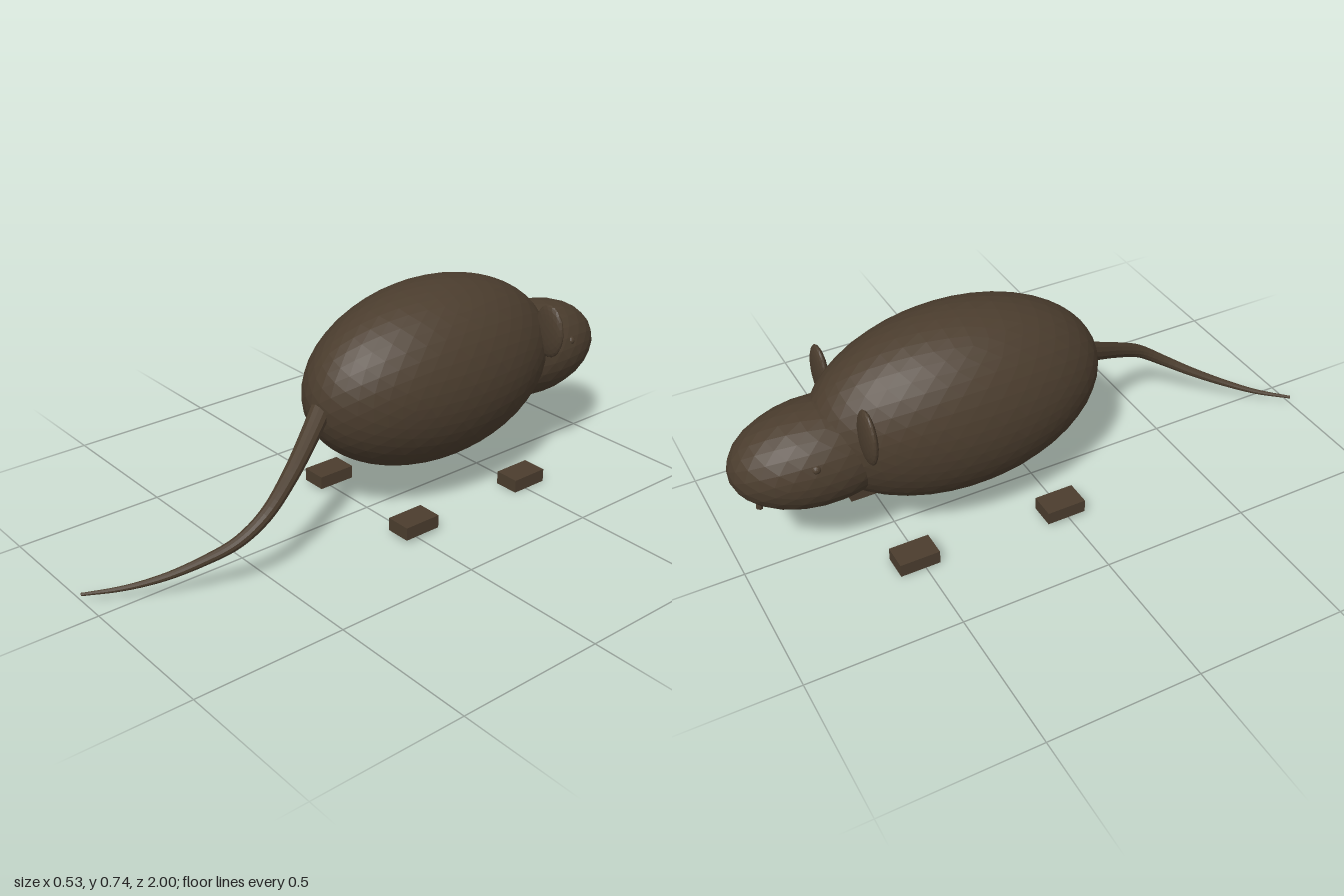
import * as THREE from 'three';

const fur = new THREE.MeshStandardMaterial({ color: 0x4b3d2e, flatShading: true });
fur.name = 'darkBrownFur';

function add(parent, name, geometry, x, y, z) {
  const mesh = new THREE.Mesh(geometry, fur);
  mesh.name = name;
  mesh.position.set(x, y, z);
  parent.add(mesh);
  return mesh;
}

// Faceted ellipsoid with the given radii
function ellipsoid(rx, ry, rz, detail) {
  return new THREE.IcosahedronGeometry(1, detail).scale(rx, ry, rz);
}

// Tube whose rings shrink towards the end of the curve
function taperedTube(points, r0, r1, segments, sides) {
  const curve = new THREE.CatmullRomCurve3(points.map((p) => new THREE.Vector3(...p)));
  const geometry = new THREE.TubeGeometry(curve, segments, 1, sides, false);
  const pos = geometry.attributes.position;
  const v = new THREE.Vector3();
  for (let i = 0; i <= segments; i++) {
    const t = i / segments;
    const centre = curve.getPointAt(t);
    const r = r0 + (r1 - r0) * t;
    for (let j = 0; j <= sides; j++) {
      const k = i * (sides + 1) + j;
      v.fromBufferAttribute(pos, k).sub(centre).multiplyScalar(r).add(centre);
      pos.setXYZ(k, v.x, v.y, v.z);
    }
  }
  geometry.computeVertexNormals();
  return geometry;
}

export function createModel() {
  const model = new THREE.Group();
  model.name = 'rat';

  // Body and head; the snout points to -z
  add(model, 'body', ellipsoid(0.263, 0.307, 0.488, 7), 0, 0.43, -0.265);
  add(model, 'head', ellipsoid(0.173, 0.163, 0.28, 4), 0, 0.386, -0.72);

  // Paired parts
  for (const [side, s] of [['left', 1], ['right', -1]]) {
    add(model, side + 'Ear', ellipsoid(0.063, 0.092, 0.02, 3), s * 0.185, 0.523, -0.63);
    add(model, side + 'Eye', ellipsoid(0.015, 0.015, 0.015, 2), s * 0.149, 0.44, -0.78);
    const tooth = add(model, side + 'Tooth',
      new THREE.CylinderGeometry(0.015, 0.011, 0.06, 8), s * 0.022, 0.288, -0.922);
    tooth.rotation.x = 0.2;
    add(model, side + 'FrontFoot', new THREE.BoxGeometry(0.087, 0.045, 0.133), s * 0.197, 0.0225, -0.517);
    add(model, side + 'HindFoot', new THREE.BoxGeometry(0.087, 0.044, 0.133), s * 0.219, 0.035, -0.013);
  }

  // Long curved tail
  const path = [
    [0.0, 0.44, 0.17], [0.05, 0.38, 0.26], [0.12, 0.295, 0.4], [0.16, 0.225, 0.52],
    [0.147, 0.165, 0.61], [0.1, 0.115, 0.7], [0.04, 0.07, 0.8], [-0.03, 0.038, 0.9], [-0.1, 0.023, 1.0],
  ];
  add(model, 'tail', taperedTube(path, 0.035, 0.005, 40, 12), 0, 0, 0);
  add(model, 'tailTip', ellipsoid(0.005, 0.005, 0.003, 1), -0.1, 0.023, 0.998);

  return model;
}
